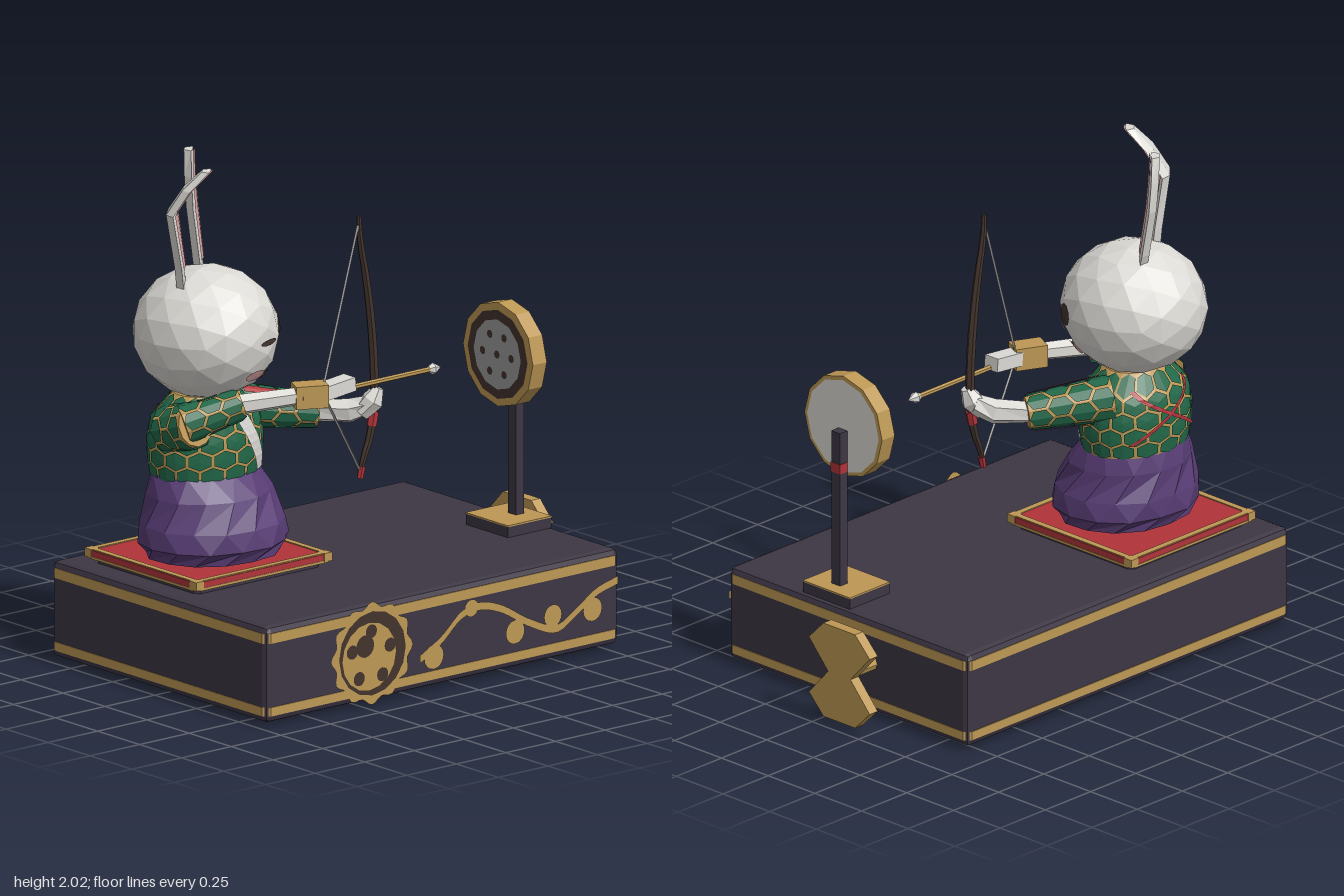
import * as THREE from 'three';
import { RoundedBoxGeometry } from 'three/addons/geometries/RoundedBoxGeometry.js';

const V = (x, y, z) => new THREE.Vector3(x, y, z);
const mat = (name, color) => new THREE.MeshStandardMaterial({ name, color, flatShading: true, side: THREE.DoubleSide });
const M = {
  dark: mat('dark lacquer', 0x3d3644), gold: mat('gold', 0xbd9855), red: mat('red', 0xb0343a),
  purple: mat('purple cloth', 0x573c74), green: mat('green cloth', 0x22694a), white: mat('fur white', 0xdcdad5),
  pink: mat('pink', 0xd8a3a3), brown: mat('dark brown', 0x43342d), grey: mat('string grey', 0x9b9b9b),
};

// Skin a list of equal-length rings; optionally closed around and capped
function loft(rings, closed = true, caps = closed) {
  const pos = [], n = rings[0].length;
  const tri = (a, b, c) => [a, b, c].forEach(p => pos.push(p.x, p.y, p.z));
  for (let i = 0; i < rings.length - 1; i++)
    for (let j = 0; j < (closed ? n : n - 1); j++) {
      const k = (j + 1) % n, a = rings[i][j], b = rings[i][k], c = rings[i + 1][k], d = rings[i + 1][j];
      tri(a, b, c); tri(a, c, d);
    }
  if (caps) [rings[0], rings[rings.length - 1]].forEach((r, e) => {
    const m = r.reduce((s, p) => s.add(p), V(0, 0, 0)).divideScalar(n);
    r.forEach((p, j) => (e ? tri(m, p, r[(j + 1) % n]) : tri(m, r[(j + 1) % n], p)));
  });
  const g = new THREE.BufferGeometry();
  g.setAttribute('position', new THREE.Float32BufferAttribute(pos, 3));
  g.computeVertexNormals();
  return g;
}

// Ring of points across an axis
function ringAt(c, dir, r, sides, off = 0) {
  const d = dir.clone().normalize(), n1 = V(0, 0, 1).cross(d).normalize(), n2 = d.clone().cross(n1);
  return Array.from({ length: sides }, (_, j) => {
    const a = off + j / sides * Math.PI * 2;
    return c.clone().addScaledVector(n1, r * Math.cos(a)).addScaledVector(n2, r * Math.sin(a));
  });
}
function limb(pts, radii, sides = 6) {
  return loft(pts.map((p, i) => ringAt(p,
    pts[Math.min(i + 1, pts.length - 1)].clone().sub(pts[Math.max(i - 1, 0)]), radii[i], sides)));
}

// Flat polygon laid on a curved surface surf(u, v, offset)
function patch(surf, u, v, ru, rv, sides, off, clampV = false) {
  const at = (a, b) => surf(a, clampV ? Math.min(1, Math.max(0, b)) : b, off);
  const rim = Array.from({ length: sides + 1 }, (_, i) => {
    const a = Math.PI / 6 + i / sides * Math.PI * 2;
    return at(u + ru * Math.cos(a), v + rv * Math.sin(a));
  });
  return loft([rim, rim.map(() => at(u, v))], false);
}
// Ribbon laid on a curved surface
function ribbon(surf, u0, v0, u1, v1, hw, off) {
  return loft(Array.from({ length: 9 }, (_, i) => {
    const t = i / 8, u = u0 + (u1 - u0) * t, v = v0 + (v1 - v0) * t;
    return [surf(u - hw, v, off), surf(u, v, off), surf(u + hw, v, off)];
  }), false);
}
// Horizontal slab with cut corners, y0 at its bottom
function slab(w, h, d, cut, y0) {
  const x = w / 2, z = d / 2, s = new THREE.Shape([[x - cut, -z], [x, cut - z], [x, z - cut], [x - cut, z],
    [cut - x, z], [-x, z - cut], [-x, cut - z], [cut - x, -z]].map(p => new THREE.Vector2(...p)));
  return new THREE.ExtrudeGeometry(s, { depth: h, bevelEnabled: false }).rotateX(-Math.PI / 2).translate(0, y0, 0);
}

export function createModel() {
  const root = new THREE.Group();
  const add = (name, geo, m, x = 0, y = 0, z = 0) => {
    const mesh = new THREE.Mesh(geo, m);
    mesh.name = name; mesh.position.set(x, y, z); root.add(mesh);
    return mesh;
  };
  const box = (name, w, h, d, m, x, y, z) => add(name, new THREE.BoxGeometry(w, h, d), m, x, y, z);

  // Lacquer base with gold bands
  add('base', new RoundedBoxGeometry(1.78, 0.385, 1.28, 1, 0.025), M.dark, -0.09, 0.1925, 0);
  add('lowerBand', slab(1.786, 0.035, 1.286, 0.025, 0.028), M.gold, -0.09);
  add('upperBand', slab(1.786, 0.04, 1.286, 0.025, 0.318), M.gold, -0.09);

  // Front medallion and vine
  const disc = (name, r, m, x, y, layer) => add(name, new THREE.CircleGeometry(r, 16), m, x, y, 0.645 + layer * 0.002);
  const scallop = new THREE.Shape(Array.from({ length: 72 }, (_, i) => {
    const a = i / 72 * Math.PI * 2, r = 0.195 + 0.011 * Math.cos(12 * a);
    return new THREE.Vector2(r * Math.cos(a), r * Math.sin(a));
  }));
  add('medallion', new THREE.ShapeGeometry(scallop), M.gold, -0.45, 0.19, 0.645);
  disc('medallionField', 0.168, M.brown, -0.45, 0.19, 1);
  disc('medallionFlower', 0.135, M.gold, -0.468, 0.18, 2);
  disc('medallionDot', 0.045, M.brown, -0.49, 0.225, 3);
  for (let i = 0; i < 5; i++) {
    const a = 0.3 + i * 1.257;
    disc('medallionDot', 0.028, M.brown, -0.46 + 0.1 * Math.cos(a), 0.18 + 0.1 * Math.sin(a), 3);
  }
  const vine = new THREE.CatmullRomCurve3([[-0.21, 0.12], [-0.1, 0.18], [0, 0.26], [0.09, 0.28], [0.2, 0.25], [0.34, 0.17],
    [0.48, 0.12], [0.58, 0.17], [0.68, 0.23], [0.79, 0.26]].map(p => V(p[0], p[1], 0.646)));
  add('vine', loft(vine.getPoints(40).map(p => [V(p.x, p.y + 0.016, p.z), V(p.x, p.y - 0.016, p.z)]), false), M.gold);
  [[-0.14, 0.12, 0.05], [0.27, 0.145, 0.048], [0.46, 0.175, 0.045], [0.66, 0.165, 0.048], [0.05, 0.28, 0.035]]
    .forEach(([x, y, r]) => disc('vineBud', r, M.gold, x, y, 1));

  // Winding key
  const quarter = [[0.085, 0.195], [0.163, 0.115], [0.06, 0]];
  const keyPts = [...quarter, [0.163, -0.115], [0.085, -0.195], [-0.085, -0.195], [-0.163, -0.115], [-0.06, 0], [-0.163, 0.115], [-0.085, 0.195]];
  const keyShape = new THREE.Shape(keyPts.map(p => new THREE.Vector2(...p)));
  add('key', new THREE.ExtrudeGeometry(keyShape, { depth: 0.045, bevelEnabled: false }).rotateY(Math.PI / 2), M.gold, 0.935, 0.208, -0.127);
  add('keyShaft', new THREE.CylinderGeometry(0.03, 0.03, 0.16, 8).rotateZ(Math.PI / 2), M.gold, 0.87, 0.208, -0.127);

  // Cushion
  add('cushionBase', slab(0.63, 0.022, 0.61, 0.02, 0.385), M.dark, -0.56, 0, -0.2);
  add('cushionRim', slab(0.684, 0.01, 0.664, 0.02, 0.405), M.gold, -0.56, 0, -0.2);
  add('cushion', slab(0.68, 0.026, 0.66, 0.02, 0.413), M.red, -0.56, 0, -0.2);
  for (const s of [-1, 1]) {
    box('cushionTrim', 0.66, 0.01, 0.026, M.gold, -0.56, 0.438, -0.2 + s * 0.313);
    box('cushionTrim', 0.026, 0.01, 0.64, M.gold, -0.56 + s * 0.323, 0.438, -0.2);
    for (const t of [-1, 1]) box('cushionCorner', 0.04, 0.034, 0.04, M.gold, -0.56 + s * 0.323, 0.426, -0.2 + t * 0.313);
  }

  // Target on its stand
  box('targetFoot', 0.22, 0.043, 0.25, M.dark, 0.673, 0.406, 0.132);
  box('targetFootTop', 0.222, 0.006, 0.252, M.gold, 0.673, 0.43, 0.132);
  box('targetPost', 0.042, 0.64, 0.047, M.dark, 0.706, 0.75, 0.137);
  box('postTie', 0.046, 0.04, 0.051, M.red, 0.706, 0.92, 0.137);
  add('target', new THREE.CylinderGeometry(0.208, 0.208, 0.07, 12).rotateZ(Math.PI / 2), M.gold, 0.65, 1.083, 0.137);
  const face = (name, r, m, x, s, y = 1.083, z = 0.137) => add(name, new THREE.CircleGeometry(r, 12).rotateY(s * Math.PI / 2), m, x, y, z);
  face('targetBack', 0.192, M.white, 0.687, 1);
  face('targetRing', 0.178, M.brown, 0.613, -1);
  face('targetFace', 0.14, M.grey, 0.611, -1);
  for (let i = 0; i < 7; i++) {
    const a = i * 1.047, r = i ? 0.085 : 0;
    face('targetDot', 0.016, M.brown, 0.609, -1, 1.083 + r * Math.sin(a), 0.137 + r * Math.cos(a));
  }

  // Skirt
  const oval = (y, rx, rz, cz, twist) => Array.from({ length: 14 }, (_, j) => {
    const a = (j + twist) / 14 * Math.PI * 2, k = 1 + 0.02 * Math.sin(j * 2.7 + y * 40);
    return V(-0.565 + rx * k * Math.sin(a), y, cz + rz * k * Math.cos(a));
  });
  add('skirt', loft([oval(0.452, 0.28, 0.24, -0.165, 0), oval(0.505, 0.31, 0.27, -0.165, 0.5), oval(0.58, 0.297, 0.262, -0.17, 0),
    oval(0.69, 0.26, 0.225, -0.19, 0.5), oval(0.775, 0.225, 0.175, -0.22, 0)]), M.purple);

  // Patterned robe: gold ground with green hexagons
  function patterned(name, surf, nu, nv, cols, rows) {
    const T = Math.PI * 2;
    add(name, loft(Array.from({ length: nv + 1 }, (_, i) => Array.from({ length: nu }, (_, j) => surf(j / nu * T, i / nv, 0)))), M.gold);
    for (let r = 0; r < rows; r++) for (let c = 0; c < cols; c++)
      add(name + 'Hexagon', patch(surf, (c + (r % 2) / 2) / cols * T, (r + 0.5) / rows, 0.51 * T / cols, 0.59 / rows, 6, 0.007, true), M.green);
  }
  const profile = [[0.755, 0.225, 0.175], [0.83, 0.238, 0.185], [0.91, 0.24, 0.185], [0.99, 0.225, 0.17], [1.08, 0.13, 0.11]];
  const torso = (u, v, off) => {
    const f = Math.min(v * 4, 3.9999), i = Math.floor(f);
    const [y, rx, rz] = profile[i].map((p, k) => p + (profile[i + 1][k] - p) * (f - i));
    return V(-0.56 + (rx + off) * Math.sin(u), y, -0.22 + (rz + off) * Math.cos(u));
  };
  patterned('robe', torso, 28, 8, 14, 5);
  add('sash', ribbon(torso, 0.12, 0.85, 0.72, 0.05, 0.15, 0.012), M.white);
  for (const s of [-1, 1]) add('backCord', ribbon(torso, Math.PI + s * 0.75, 0.85, Math.PI - s * 0.75, 0.2, 0.06, 0.012), M.red);
  const sleeve = (a, b, ra, rb) => (u, v, off) =>
    ringAt(a.clone().lerp(b, v), b.clone().sub(a), ra + (rb - ra) * v + off, 1, u)[0];

  // Bow arm
  const bowSleeve = sleeve(V(-0.4, 0.985, -0.25), V(-0.125, 0.95, -0.06), 0.085, 0.062);
  patterned('bowSleeve', bowSleeve, 12, 3, 6, 4);
  for (const u of [0.6, 3.6]) add('sleeveCord', ribbon(bowSleeve, u, 0.1, u, 0.95, 0.18, 0.012), M.red);
  add('bowForearm', limb([V(-0.15, 0.95, -0.08), V(-0.04, 0.955, 0.03), V(0.01, 0.985, 0.085)], [0.042, 0.05, 0.04]), M.white);
  add('bowHand', limb([V(-0.02, 0.95, 0.07), V(0.015, 1.0, 0.1), V(0.035, 1.05, 0.11)], [0.035, 0.045, 0.022]), M.white);

  // Drawing arm
  const drawUpper = sleeve(V(-0.74, 0.95, -0.22), V(-0.735, 1.0, -0.07), 0.09, 0.085);
  const drawSleeve = sleeve(V(-0.77, 1.0, -0.1), V(-0.57, 1.072, 0.01), 0.07, 0.055);
  patterned('drawUpperSleeve', drawUpper, 12, 3, 6, 3);
  patterned('drawSleeve', drawSleeve, 12, 3, 6, 3);
  add('sleeveCord', ribbon(drawUpper, 4.2, 0, 4.2, 1, 0.14, 0.012), M.red);
  add('drawForearm', limb([V(-0.61, 1.07, 0), V(-0.37, 1.085, 0.1)], [0.042, 0.036]), M.white);
  box('glove', 0.13, 0.09, 0.09, M.gold, -0.315, 1.085, 0.115).rotation.y = -0.45;
  box('drawHand', 0.14, 0.055, 0.07, M.white, -0.19, 1.095, 0.125).rotation.z = 0.1;

  // Bow, string and arrow
  const bow = new THREE.CatmullRomCurve3([[-0.055, 1.75], [-0.05, 1.66], [-0.02, 1.5], [0.008, 1.3], [0.022, 1.1], [0.02, 0.98], [0, 0.86],
    [-0.035, 0.77], [-0.05, 0.7]].map(p => V(p[0], p[1], 0.1))).getPoints(18);
  add('bow', limb(bow, bow.map((p, i) => 0.009 + 0.009 * Math.sin(i / 18 * Math.PI))), M.brown);
  add('bowTip', limb([V(-0.05, 0.7, 0.1), V(-0.04, 0.745, 0.1)], [0.013, 0.015]), M.red);
  add('bowGrip', limb([V(0.008, 0.9, 0.1), V(0.02, 0.955, 0.1)], [0.021, 0.021]), M.red);
  const nock = V(-0.265, 1.09, 0.13);
  for (const end of [V(-0.06, 1.71, 0.1), V(-0.048, 0.73, 0.1)]) add('bowString', limb([end, nock], [0.006, 0.006], 4), M.grey);
  add('arrowShaft', limb([V(-0.37, 1.083, 0.132), V(0.285, 1.083, 0.132)], [0.011, 0.011]), M.gold);
  add('arrowHead', limb([V(0.27, 1.083, 0.132), V(0.29, 1.083, 0.132), V(0.33, 1.083, 0.132)], [0.012, 0.024, 0.001]), M.white);

  // Head and face
  const headAt = (u, v, off) => V(-0.56 + (0.28 + off) * Math.sin(u) * Math.cos(v), 1.315 + (0.262 + off) * Math.sin(v),
    -0.215 + (0.288 + off) * Math.cos(u) * Math.cos(v));
  add('head', new THREE.IcosahedronGeometry(1, 2).rotateY(0.3).scale(0.283, 0.262, 0.291), M.white, -0.56, 1.315, -0.215);
  const feature = (name, m, u, v, ru, rv, sides = 10) => add(name, patch(headAt, u, v, ru, rv, sides, 0.006), m);
  feature('winkingEye', M.brown, 0.3, -0.01, 0.19, 0.045);
  feature('openEye', M.brown, 1.13, 0, 0.15, 0.17);
  feature('cheek', M.pink, 0.17, -0.53, 0.22, 0.1);
  feature('cheek', M.pink, 1.18, -0.53, 0.22, 0.1);
  feature('nose', M.pink, 0.8, -0.33, 0.11, 0.08, 3);
  feature('mouth', M.brown, 0.82, -0.68, 0.11, 0.09, 8);

  // Ears: each entry is x, y, z, half width
  const W = V(0.707, 0, -0.707), N = V(0.707, 0, 0.707);
  const ear = (name, path) => {
    const at = (p, w, n) => V(p[0], p[1], p[2]).addScaledVector(W, w * p[3]).addScaledVector(N, n);
    add(name, loft(path.map(p => [at(p, 0, 0.005), at(p, 1, 0), at(p, 0.55, -0.03), at(p, -0.55, -0.03), at(p, -1, 0)])), M.white);
    add(name + 'Inner', loft(path.slice(1).map(p => [at(p, -0.8, 0.007), at(p, 0, 0.011), at(p, 0.8, 0.007)]), false), M.pink);
  };
  ear('rightEar', [[-0.685, 1.5, -0.19, 0.045], [-0.692, 1.6, -0.195, 0.055], [-0.725, 1.82, -0.205, 0.08], [-0.69, 1.92, -0.15, 0.065], [-0.645, 1.995, -0.09, 0.035]]);
  ear('leftEar', [[-0.51, 1.52, -0.29, 0.05], [-0.508, 1.58, -0.305, 0.062], [-0.505, 1.78, -0.345, 0.08], [-0.503, 1.9, -0.36, 0.062], [-0.503, 2, -0.365, 0.035]]);
  return root;
}
